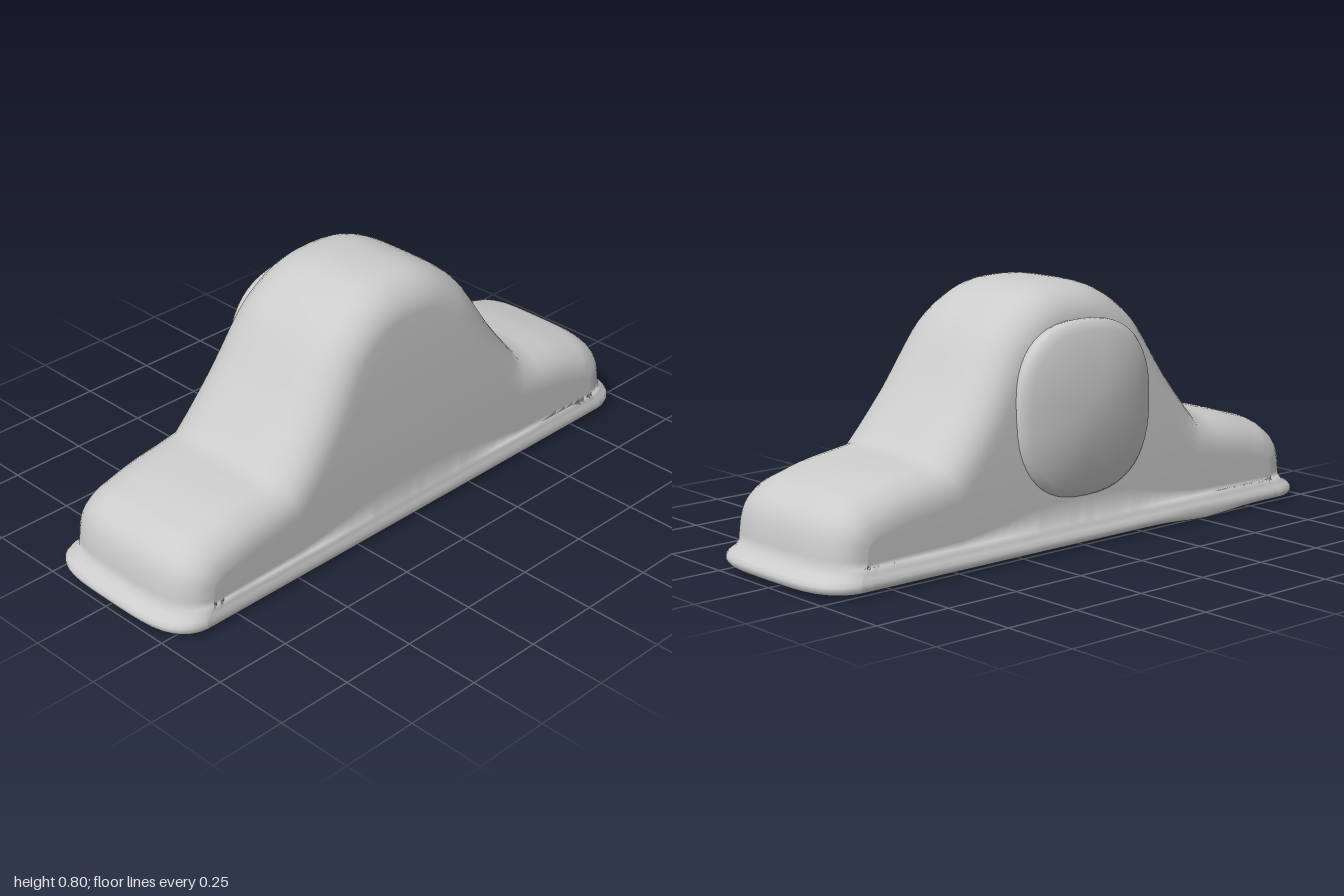
import * as THREE from 'three';
import { mergeVertices } from 'three/addons/utils/BufferGeometryUtils.js';

const BASE_Y = 0.08, MID_Z = 0.0225, CORNER = 0.115;
const V = (x, y, z) => new THREE.Vector3(x, y, z);

// Adds a grid of point rows to a shared position / index list
function addGrid(store, rows) {
  const n = rows[0].length, start = store.pos.length / 3;
  rows.flat().forEach(p => store.pos.push(p.x, p.y, p.z));
  for (let r = 0; r < rows.length - 1; r++) {
    for (let c = 0; c < n - 1; c++) {
      const a = start + r * n + c;
      store.idx.push(a, a + 1, a + n, a + 1, a + n + 1, a + n);
    }
  }
}

function smoothMesh(name, ...grids) {
  const store = { pos: [], idx: [] };
  grids.forEach(g => addGrid(store, g));
  let geo = new THREE.BufferGeometry();
  geo.setAttribute('position', new THREE.Float32BufferAttribute(store.pos, 3));
  geo.setIndex(store.idx);
  geo = mergeVertices(geo, 1e-4);
  geo.computeVertexNormals();
  const mesh = new THREE.Mesh(geo, new THREE.MeshStandardMaterial({ color: 0xcccccc, side: THREE.DoubleSide }));
  mesh.name = name;
  return mesh;
}

// Arched outline from the +x end over the top to the -x end
function archOutline() {
  const spline = (pts, n) => new THREE.SplineCurve(pts.map(p => new THREE.Vector2(...p))).getPoints(n);
  const shoulder = spline([[0.957, BASE_Y], [0.947, 0.16], [0.92, 0.22], [0.86, 0.268], [0.8, 0.288], [0.7, 0.314], [0.545, 0.337]], 14);
  const hump = spline([[0.545, 0.337], [0.42, 0.49], [0.31, 0.655], [0.24, 0.725], [0.16, 0.775], [0.08, 0.8], [0, 0.805]], 18);
  const half = shoulder.concat(hump.slice(1));
  const mirrored = half.slice(0, -1).reverse().map(p => new THREE.Vector2(-p.x, p.y));
  return half.concat(mirrored);
}

// Depth at height y for u from -1 (back) to 1 (front); walls lean in upwards
const depth = (u, y) => MID_Z + u * (0.28 - 0.075 * y * y);

function bodyRows() {
  const outline = archOutline();
  const steps = 20, faceSteps = 8, last = outline.length - 1;
  return outline.map((p, i) => {
    const a = outline[Math.max(i - 1, 0)], b = outline[Math.min(i + 1, last)];
    const inward = new THREE.Vector2(-(b.y - a.y), b.x - a.x).normalize();
    if (i === 0 || i === last) inward.set(-Math.sign(p.x), 0);
    const section = [];
    for (let k = 0; k <= steps; k++) {
      const u = Math.cos(Math.PI * k / steps);
      const d = CORNER * (1 - Math.sqrt(Math.max(0, 1 - u ** 4)));
      const x = p.x + inward.x * d, y = Math.max(BASE_Y, p.y + inward.y * d);
      section.push(V(x, y, depth(u, y)));
    }
    // front and back walls drop straight from the rounded edge
    const wall = (top, u) => Array.from({ length: faceSteps }, (_, k) => {
      const y = THREE.MathUtils.lerp(BASE_Y, top.y, k / faceSteps);
      return V(top.x, y, depth(u, y));
    });
    return [...wall(section[0], 1), ...section, ...wall(section[steps], -1).reverse()];
  });
}

// Flared lip that follows the open bottom edge and turns inside
function rimRows(body) {
  const n = body[0].length, last = body.length - 1;
  const border = [
    ...body.map(r => r[0]),
    ...body[last],
    ...body.map(r => r[n - 1]).reverse(),
    ...body[0].slice().reverse(),
  ];
  const profile = [
    [1, 1, BASE_Y], [1.012, 1.01, 0.064], [1.036, 1.035, 0.052], [1.045, 1.055, 0.04],
    [1.044, 1.057, 0.028], [1.036, 1.045, 0.017], [1.01, 1, 0.012], [0.975, 0.92, 0.014],
    [0.965, 0.9, 0.022], [0.968, 0.92, 0.04], [1, 1, BASE_Y],
  ];
  return profile.map(([sx, sz, y], k) => border.map(p => {
    const x = p.x * sx, shift = k === 0 ? 0 : -0.005 * (sz - 1) / 0.057;
    // slight sag along one stretch of the rear edge
    const sag = p.z < -0.2 && y < 0.03 ? 0.012 * Math.exp(-(((x + 0.52) / 0.13) ** 2)) : 0;
    return V(x, y - sag, MID_Z + (p.z - MID_Z) * sz + shift);
  }));
}

// Domed cover with a rounded-square outline
function coverRows() {
  const profile = [[0.97, -0.2], [1, -0.235], [0.995, -0.25], [0.96, -0.264], [0.88, -0.275],
    [0.7, -0.291], [0.45, -0.305], [0.2, -0.313], [0, -0.315]];
  const sides = 48, power = 2 / 2.5;
  const soft = v => Math.sign(v) * Math.abs(v) ** power;
  return profile.map(([s, z]) => Array.from({ length: sides + 1 }, (_, k) => {
    const t = (k % sides) / sides * Math.PI * 2;
    return V(0.272 * s * soft(Math.sin(t)), 0.427 + 0.274 * s * soft(Math.cos(t)), z);
  }));
}

export function createModel() {
  const group = new THREE.Group();
  group.name = 'archedHousing';
  const body = bodyRows();
  group.add(smoothMesh('housingShell', body, rimRows(body)));
  group.add(smoothMesh('rearCover', coverRows()));
  return group;
}
